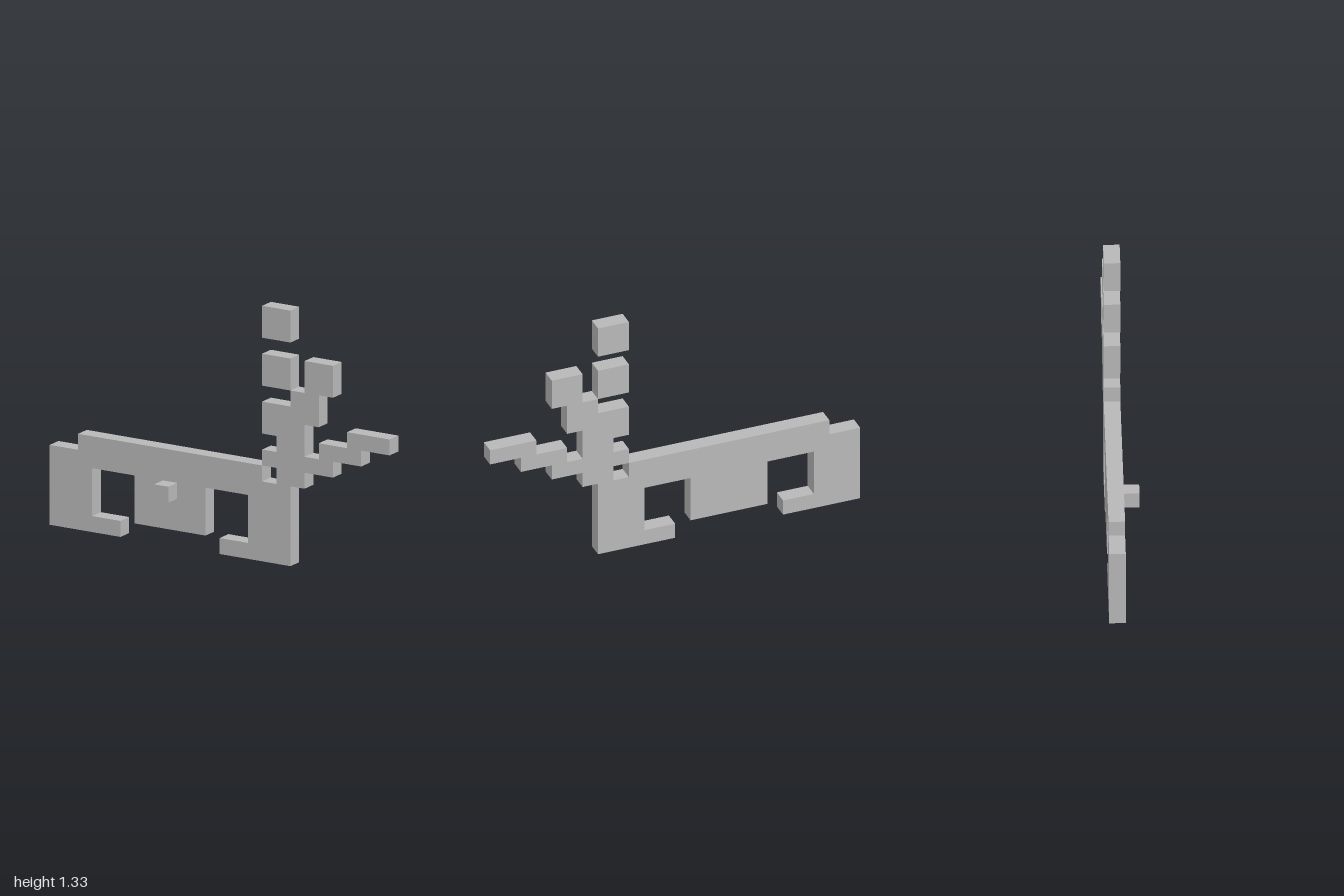
import * as THREE from 'three';

// The model sits on a square grid, 24 cells wide and one cell thick
const U = 1 / 12;

export function createModel() {
  const model = new THREE.Group();
  const grey = new THREE.MeshStandardMaterial({ color: 0xb8b8b8 });

  // Slab cut from an outline in grid cells, with its front at z = 0
  function slab(name, outline) {
    const shape = new THREE.Shape(outline.map(([x, y]) => new THREE.Vector2(x * U, y * U)));
    const geometry = new THREE.ExtrudeGeometry(shape, { depth: U, bevelEnabled: false });
    geometry.translate(0, 0, -U);
    const mesh = new THREE.Mesh(geometry, grey);
    mesh.name = name;
    model.add(mesh);
  }

  // Box from its low corner and size, in grid cells
  function block(name, [x, y, z], [w, h, d]) {
    const mesh = new THREE.Mesh(new THREE.BoxGeometry(w * U, h * U, d * U), grey);
    mesh.position.set((x + w / 2) * U, (y + h / 2) * U, (z + d / 2) * U);
    mesh.name = name;
    model.add(mesh);
  }

  // Body with two inward-pointing feet and a hanging middle
  slab('body', [
    [-12, 0], [-7, 0], [-7, 1], [-9, 1], [-9, 4], [-6, 4], [-6, 1], [-1, 1], [-1, 4],
    [2, 4], [2, 1], [0, 1], [0, 0], [5, 0], [5, 5], [3, 5], [3, 6], [-10, 6], [-10, 5], [-12, 5],
  ]);

  // Stepped plume with a side branch
  slab('plume', [
    [4, 5], [6, 5], [6, 6], [8, 6], [8, 7], [10, 7], [10, 8], [12, 8], [12, 9], [9, 9],
    [9, 8], [7, 8], [7, 7], [6, 7], [6, 9], [7, 9], [7, 11], [8, 11], [8, 13], [6, 13],
    [6, 11], [5, 11], [5, 10], [3, 10], [3, 8], [4, 8], [4, 7], [3, 7], [3, 6], [4, 6],
  ]);

  // Loose pieces above the plume
  for (const y of [11, 14]) block('floatingBlock', [3, y, -1], [2, 2, 1]);

  // Knob on the front
  block('knob', [-4, 3, 0], [1, 1, 1]);

  return model;
}
